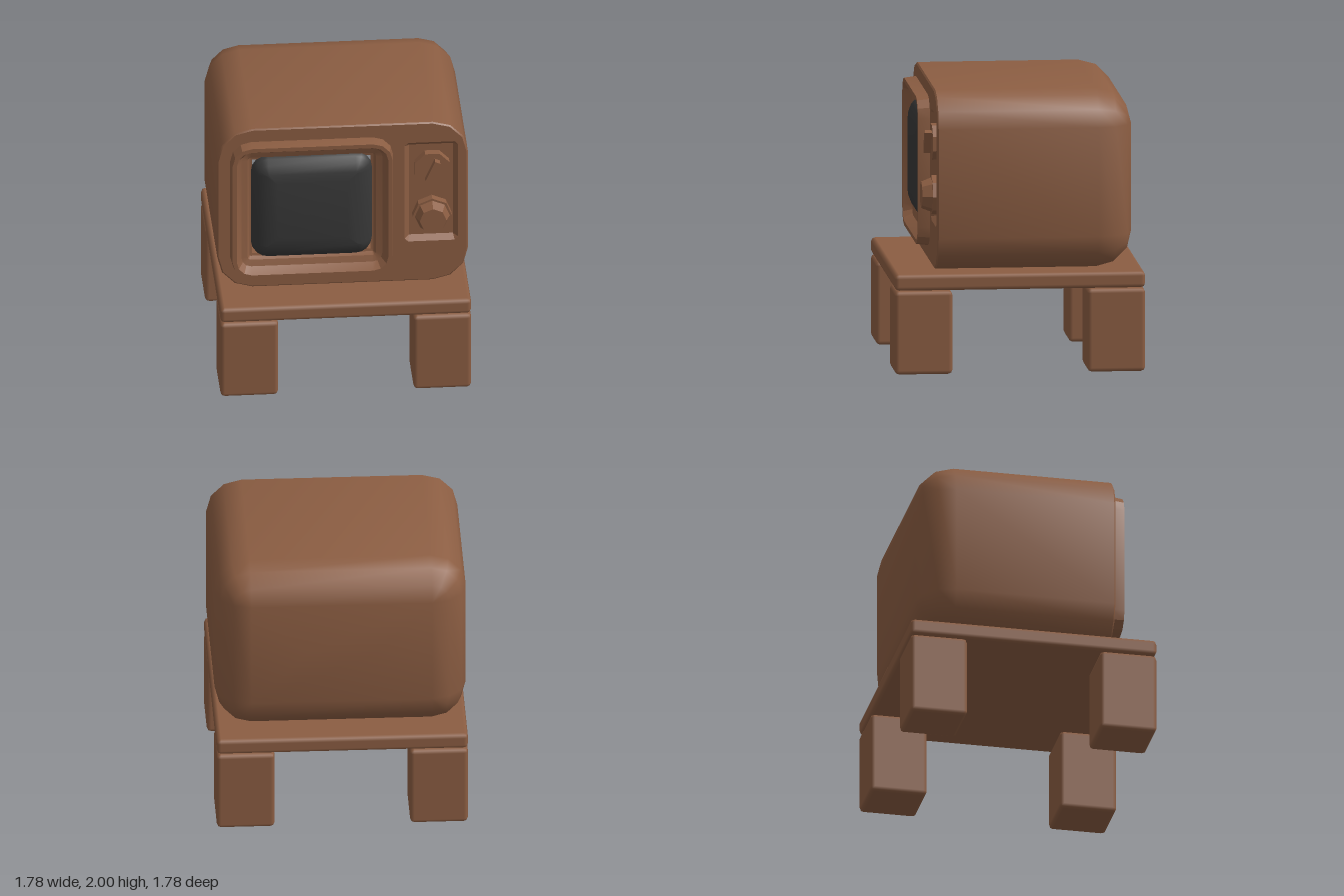
import * as THREE from 'three';
import { toCreasedNormals } from 'three/addons/utils/BufferGeometryUtils.js';
import { RoundedBoxGeometry } from 'three/addons/geometries/RoundedBoxGeometry.js';

const wood = new THREE.MeshStandardMaterial({ color: 0x8b5d42 });
wood.name = 'brownWood';
const glass = new THREE.MeshStandardMaterial({ color: 0x383838 });
glass.name = 'darkGlass';

// Rounded rectangles given as centre, half size and corner radius
const CASE = { x: 0, y: 1.36, w: 0.89, h: 0.64, r: 0.25 };
const FRAME = { x: -0.22, y: 1.36, w: 0.58, h: 0.54, r: 0.15 };
const SCREEN = { x: -0.22, y: 1.365, w: 0.43, h: 0.405, r: 0.12 };
const POCKET = { x: 0.63, y: 1.44, w: 0.19, h: 0.4, r: 0.025 };

// Counter-clockwise outline, moved inwards by inset
function outline(rect, inset, steps = 3) {
  const r = Math.max(rect.r - inset, 0);
  const points = [];
  [[1, 1], [-1, 1], [-1, -1], [1, -1]].forEach(([sx, sy], corner) => {
    for (let k = 0; k <= steps; k++) {
      const a = (corner + k / steps) * Math.PI / 2;
      points.push(new THREE.Vector2(
        rect.x + sx * (rect.w - inset - r) + r * Math.cos(a),
        rect.y + sy * (rect.h - inset - r) + r * Math.sin(a)));
    }
  });
  return points;
}

// Skin over outlines listed as [inset, z]
function loft(rect, rings, crease, steps = 3) {
  const positions = [], index = [];
  const n = 4 * (steps + 1);
  rings.forEach(([inset, z], i) => {
    outline(rect, inset, steps).forEach((p, j) => {
      positions.push(p.x, p.y, z);
      if (i === rings.length - 1) return;
      const a = i * n + j, b = i * n + (j + 1) % n;
      index.push(a, b, b + n, a, b + n, a + n);
    });
  });
  const geometry = new THREE.BufferGeometry();
  geometry.setAttribute('position', new THREE.Float32BufferAttribute(positions, 3));
  geometry.setIndex(index);
  return toCreasedNormals(geometry, crease);
}

// Octagonal disc or cone along z, from z0 to z1
function octagon(r0, r1, z0, z1, turn) {
  const geometry = new THREE.CylinderGeometry(r1, r0, z1 - z0, 8);
  geometry.rotateY(turn).rotateX(Math.PI / 2).translate(0, 0, (z0 + z1) / 2);
  return toCreasedNormals(geometry, 0.5);
}

export function createModel() {
  const model = new THREE.Group();
  model.name = 'televisionOnTable';
  const add = (name, geometry, material = wood, x = 0, y = 0, z = 0) => {
    const mesh = new THREE.Mesh(geometry, material);
    mesh.name = name;
    mesh.position.set(x, y, z);
    model.add(mesh);
    return mesh;
  };

  // Table
  add('tableTop', new RoundedBoxGeometry(1.78, 0.115, 1.78, 1, 0.03), wood, 0, 0.6575, 0);
  for (const sx of [1, -1]) {
    for (const sz of [1, -1]) {
      const name = (sz > 0 ? 'front' : 'back') + (sx > 0 ? 'Left' : 'Right') + 'Leg';
      add(name, new RoundedBoxGeometry(0.41, 0.595, 0.41, 1, 0.03), wood, sx * 0.685, 0.2975, sz * 0.685);
    }
  }

  // Case: closed back, rounded back edges, straight sides
  const rings = [[CASE.h, -0.81]];
  for (let k = 0; k <= 3; k++) {
    const a = k * Math.PI / 6;
    rings.push([0.25 * (1 - Math.sin(a)), -0.56 - 0.25 * Math.cos(a)]);
  }
  rings.push([0, 0.58], [0.01, 0.59]);
  add('case', loft(CASE, rings, 0.7));

  // Front panel with openings for the screen and the controls
  const panel = new THREE.Shape(outline(CASE, 0.01));
  panel.holes.push(new THREE.Path(outline(FRAME, 0.03)), new THREE.Path(outline(POCKET, 0, 1)));
  add('frontPanel', new THREE.ShapeGeometry(panel).translate(0, 0, 0.59));
  add('controlPocket', loft(POCKET, [[0, 0.59], [0.035, 0.55], [POCKET.w, 0.55]], 0.4, 1));

  // Screen surround and bulging glass
  add('screenFrame', loft(FRAME, [
    [0, 0.58], [0.012, 0.675], [0.042, 0.675], [0.08, 0.61], [0.125, 0.595], [0.14, 0.565], [0.16, 0.56],
  ], 0.4));
  add('screen', loft(SCREEN, [
    [0, 0.56], [0.012, 0.6], [0.05, 0.635], [0.11, 0.658], [0.18, 0.67], [SCREEN.h, 0.67],
  ], 1.2, 4), glass);

  // Upper dial with slanted grip
  add('dial', octagon(0.133, 0.133, 0.545, 0.608, Math.PI / 8), wood, 0.635, 1.63, 0);
  const grip = add('dialGrip', new THREE.BoxGeometry(0.04, 0.17, 0.06), wood, 0.635, 1.63, 0.63);
  grip.rotation.z = -0.42;

  // Lower knob on its base
  add('knobBase', octagon(0.14, 0.14, 0.545, 0.608, 0), wood, 0.635, 1.25, 0);
  add('knob', octagon(0.125, 0.095, 0.605, 0.68, 0), wood, 0.635, 1.25, 0);

  return model;
}
